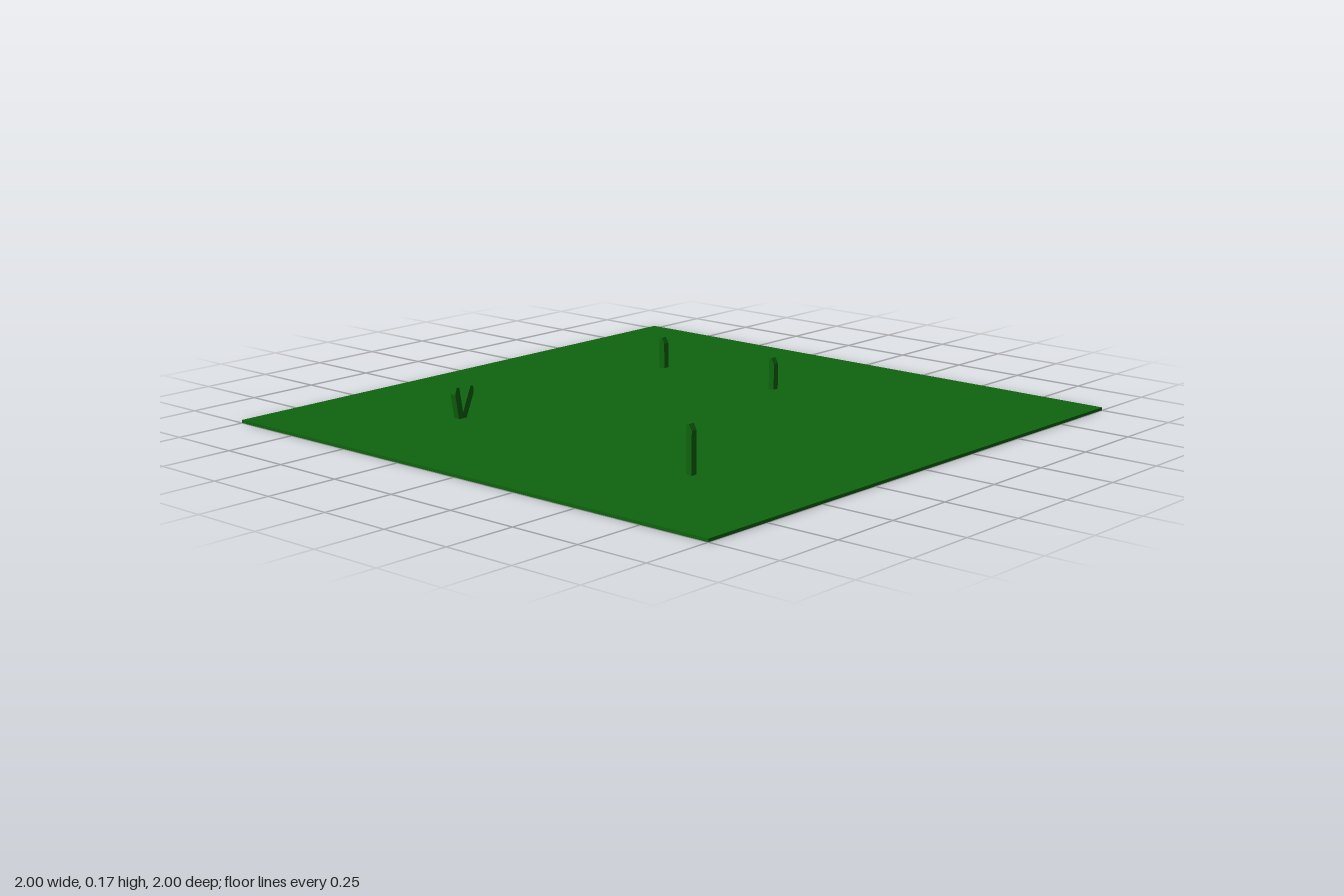
import * as THREE from 'three';

const WIDTH = 0.022;

// Upright blade with one sloping shoulder, centred on its base
function bladeGeometry(height) {
  const w = WIDTH / 2;
  const shape = new THREE.Shape([
    new THREE.Vector2(-w, 0),
    new THREE.Vector2(w, 0),
    new THREE.Vector2(w, height - 0.02),
    new THREE.Vector2(0, height),
    new THREE.Vector2(-w, height - 0.004),
  ]);
  const geometry = new THREE.ExtrudeGeometry(shape, { depth: WIDTH, bevelEnabled: false });
  return geometry.translate(0, 0, -w);
}

export function createModel() {
  const group = new THREE.Group();
  const green = new THREE.MeshStandardMaterial({ color: 0x0f640f, flatShading: true });

  // Thin square of lawn
  const ground = new THREE.Mesh(new THREE.BoxGeometry(2, 0.01, 2), green);
  ground.name = 'lawn';
  ground.position.y = 0.005;
  group.add(ground);

  // Grass blades: x, z, height, lean along z, turn about y
  const blades = [
    [-0.49, -0.486, 0.115, 0, 0],
    [0.012, -0.486, 0.115, 0, 0],
    [0.51, 0.511, 0.115, 0, 0],
    [0.534, 0.537, 0.163, 0, 0],
    [-0.49, 0.506, 0.117, -0.4, Math.PI / 2],
    [-0.49, 0.514, 0.113, 0.17, -Math.PI / 2],
  ];
  for (const [x, z, height, lean, turn] of blades) {
    const blade = new THREE.Mesh(bladeGeometry(height), green);
    blade.name = 'grassBlade';
    blade.position.set(x, 0.004, z);
    blade.rotation.set(lean, turn, 0);
    group.add(blade);
  }
  return group;
}
